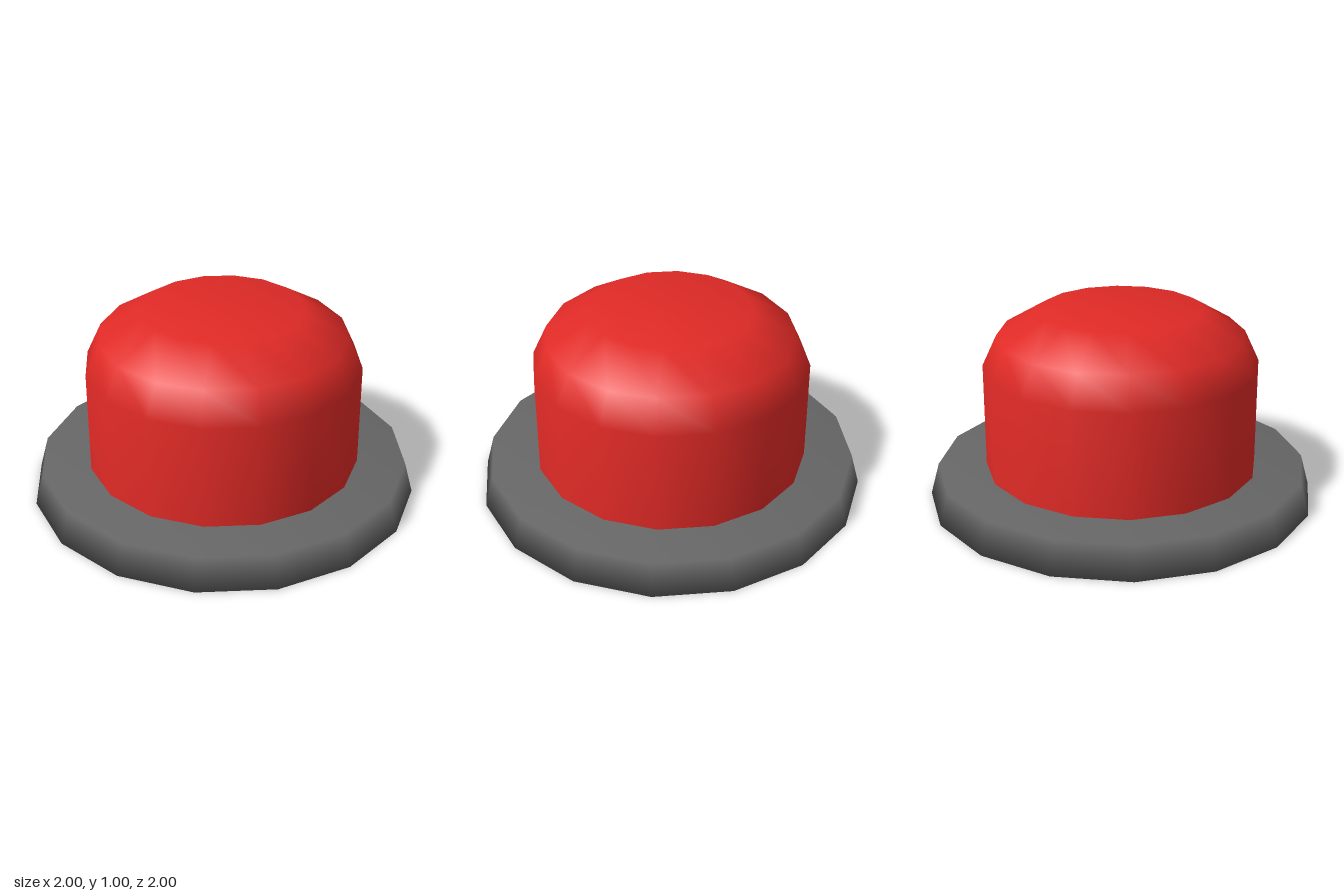
import * as THREE from 'three';

const SIDES = 16;

// Revolves a [radius, height] profile, listed from bottom to top
function turnedPart(name, color, profile) {
  const points = profile.map(([r, y]) => new THREE.Vector2(r, y));
  const mesh = new THREE.Mesh(
    new THREE.LatheGeometry(points, SIDES),
    new THREE.MeshStandardMaterial({ color })
  );
  mesh.name = name;
  return mesh;
}

export function createModel() {
  const group = new THREE.Group();
  group.name = 'pushButton';

  // Wide tapered base plate, closed above and below
  group.add(turnedPart('base', 0x666666, [
    [0, 0], [1, 0], [0.955, 0.165], [0, 0.165],
  ]));

  // Button cap with a faceted shoulder and flat top
  group.add(turnedPart('buttonCap', 0xe02a26, [
    [0.705, 0.16], [0.705, 0.705], [0.63, 0.865], [0.41, 0.995], [0, 0.995],
  ]));

  return group;
}
